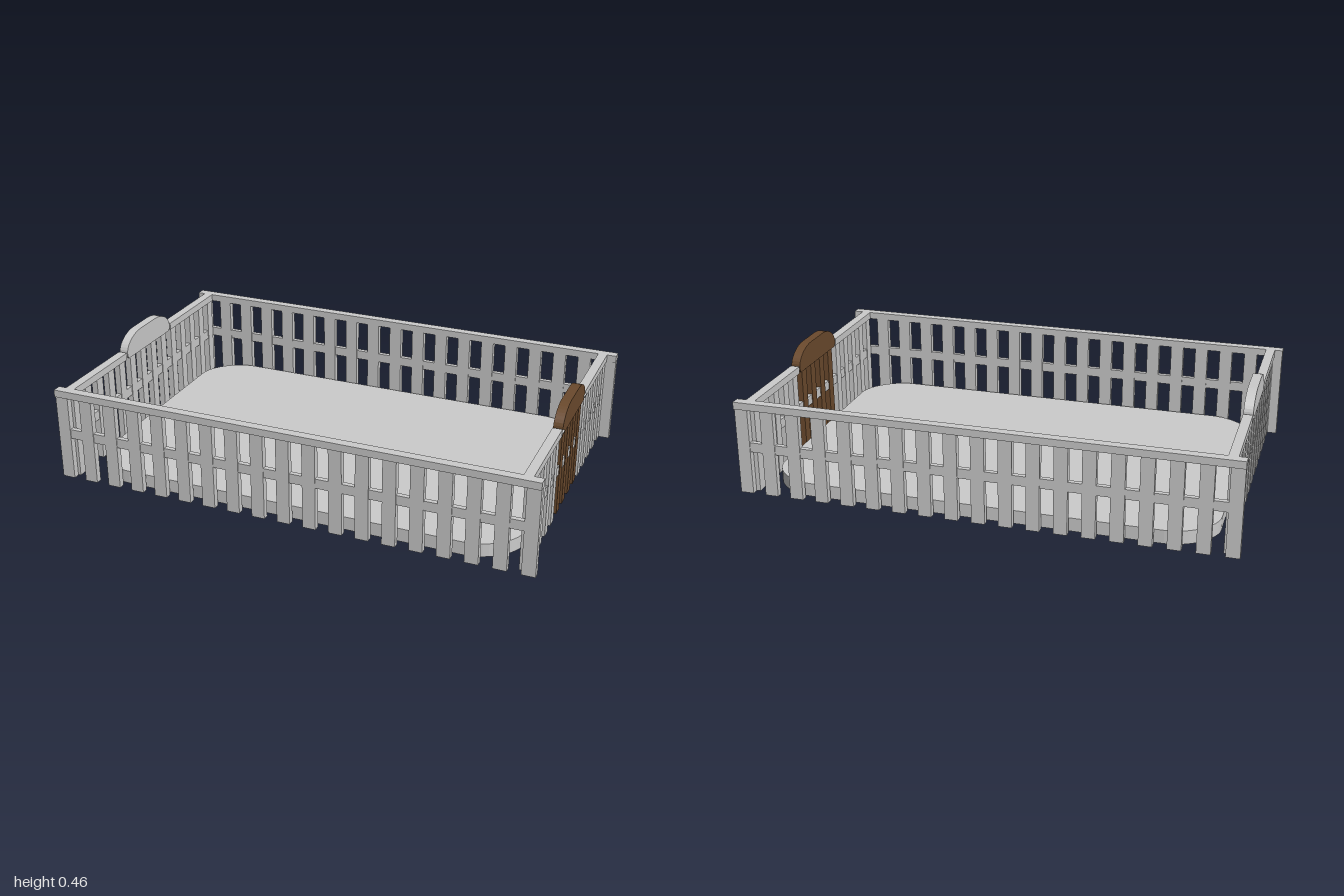
import * as THREE from 'three';

const grey = new THREE.MeshStandardMaterial({ color: 0xcccccc });
const brown = new THREE.MeshStandardMaterial({ color: 0x6b4a2d });

// Box given by its lower and upper bounds on each axis
function box(parent, name, x, y, z, material = grey) {
  const mesh = new THREE.Mesh(
    new THREE.BoxGeometry(x[1] - x[0], y[1] - y[0], z[1] - z[0]), material);
  mesh.position.set((x[0] + x[1]) / 2, (y[0] + y[1]) / 2, (z[0] + z[1]) / 2);
  mesh.name = name;
  parent.add(mesh);
}

// Floor slab with rounded corners
function makeFloor() {
  const w = 0.902, d = 0.577, rx = 0.19, rz = 0.17;
  const s = new THREE.Shape();
  s.moveTo(-w + rx, -d);
  s.lineTo(w - rx, -d);
  s.bezierCurveTo(w - rx / 2, -d, w, -d + rz / 2, w, -d + rz);
  s.lineTo(w, d - rz);
  s.bezierCurveTo(w, d - rz / 2, w - rx / 2, d, w - rx, d);
  s.lineTo(-w + rx, d);
  s.bezierCurveTo(-w + rx / 2, d, -w, d - rz / 2, -w, d - rz);
  s.lineTo(-w, -d + rz);
  s.bezierCurveTo(-w, -d + rz / 2, -w + rx / 2, -d, -w + rx, -d);
  const geo = new THREE.ExtrudeGeometry(s, { depth: 0.055, bevelEnabled: false, curveSegments: 12 });
  geo.rotateX(-Math.PI / 2);
  const floor = new THREE.Mesh(geo, grey);
  floor.position.set(0, 0.003, -0.004);
  floor.name = 'floor';
  return floor;
}

// Long fence: slats between a cap rail and a middle rail
function makeLongFence(name, z) {
  const fence = new THREE.Group();
  fence.name = name;
  for (let i = -9; i <= 9; i++) {
    const x = i * 0.108;
    box(fence, 'slat', [x - 0.027, x + 0.027], [0, 0.37], [z - 0.013, z + 0.013]);
  }
  box(fence, 'topRail', [-1, 1], [0.36, 0.39], [z - 0.019, z + 0.019]);
  box(fence, 'middleRail', [-0.99, 0.99], [0.18, 0.22], [z - 0.01, z + 0.01]);
  return fence;
}

// Rounded crest board standing over the middle slats
function makeCrest(material) {
  const s = new THREE.Shape();
  s.moveTo(-0.165, 0.36);
  s.lineTo(0.165, 0.36);
  s.quadraticCurveTo(0.178, 0.362, 0.178, 0.385);
  s.bezierCurveTo(0.178, 0.425, 0.12, 0.459, 0.06, 0.459);
  s.lineTo(-0.06, 0.459);
  s.bezierCurveTo(-0.12, 0.459, -0.178, 0.425, -0.178, 0.385);
  s.quadraticCurveTo(-0.178, 0.362, -0.165, 0.36);
  const geo = new THREE.ExtrudeGeometry(s, { depth: 0.038, bevelEnabled: false, curveSegments: 10 });
  geo.translate(0, 0, -0.019);
  geo.rotateY(Math.PI / 2);
  const crest = new THREE.Mesh(geo, material);
  crest.name = 'crest';
  return crest;
}

// Short fence with a central gate section
function makeShortFence(name, x, gateMaterial) {
  const fence = new THREE.Group();
  fence.name = name;
  fence.position.x = x;
  for (let i = 0; i < 14; i++) {
    const z = (i - 6.5) * 0.087;
    const gate = Math.abs(z) < 0.15;
    box(fence, gate ? 'gateSlat' : 'slat', [-0.013, 0.013], [gate ? 0.006 : 0, 0.37],
      [z - 0.0215, z + 0.0215], gate ? gateMaterial : grey);
  }
  box(fence, 'middleRail', [-0.01, 0.01], [0.18, 0.22], [-0.585, 0.585]);
  for (const side of [-1, 1]) {
    const ends = [side * 0.185, side * 0.59].sort((a, b) => a - b);
    box(fence, 'topRail', [-0.019, 0.019], [0.36, 0.39], ends);
    // Hinge pin between rail and crest
    const pin = new THREE.Mesh(new THREE.CylinderGeometry(0.007, 0.007, 0.03, 12), grey);
    pin.rotation.x = Math.PI / 2;
    pin.position.set(0.016, 0.375, side * 0.177);
    pin.name = 'hingePin';
    fence.add(pin);
  }
  fence.add(makeCrest(gateMaterial));
  return fence;
}

export function createModel() {
  const model = new THREE.Group();
  model.name = 'fencedPen';
  model.add(makeFloor());
  model.add(makeLongFence('frontFence', 0.603));
  model.add(makeLongFence('backFence', -0.603));
  model.add(makeShortFence('leftFence', 0.942, brown));
  const right = makeShortFence('rightFence', -0.948, grey);
  right.rotation.y = Math.PI;
  model.add(right);
  return model;
}
